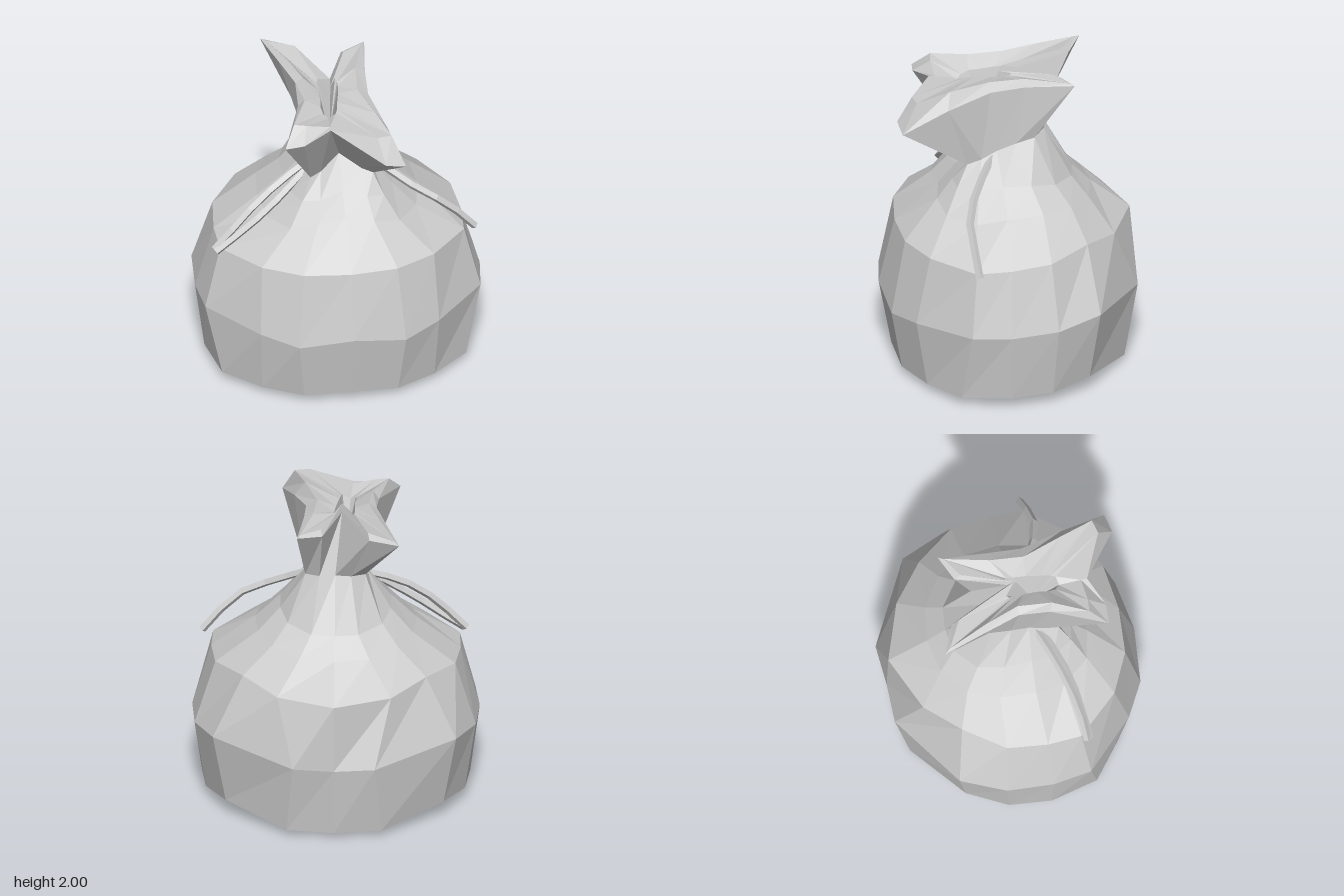
import * as THREE from 'three';

const V = (x, y, z) => new THREE.Vector3(x, y, z);

// Skins a stack of closed rings (front -> +x -> back -> -x) with flat quads
function loft(rings) {
  const pos = [];
  const tri = (...pts) => pts.forEach((p) => pos.push(p.x, p.y, p.z));
  for (let k = 0; k < rings.length - 1; k++) {
    const lo = rings[k], hi = rings[k + 1], n = lo.length;
    for (let i = 0; i < n; i++) {
      const j = (i + 1) % n;
      tri(lo[i], lo[j], hi[j]);
      tri(lo[i], hi[j], hi[i]);
    }
  }
  const geo = new THREE.BufferGeometry();
  geo.setAttribute('position', new THREE.Float32BufferAttribute(pos, 3));
  geo.computeVertexNormals();
  return geo;
}

const ringOf = (pts) => pts.map((p) => V(...p));

// Completes a half ring of 9 points by mirroring it in x
function mirrorRing(pts) {
  const half = ringOf(pts);
  return [...half, ...half.slice(1, 8).reverse().map((p) => V(-p.x, p.y, p.z))];
}

// Pulls a ring towards a point to close an opening
const shrink = (ring, s, cx, cz, y) => ring.map((p) => V(cx + (p.x - cx) * s, y, cz + (p.z - cz) * s));

export function createModel() {
  const cloth = new THREE.MeshStandardMaterial({ color: 0xcccccc, flatShading: true, side: THREE.DoubleSide });
  cloth.name = 'grey cloth';
  const model = new THREE.Group();
  const add = (name, geo) => {
    const mesh = new THREE.Mesh(geo, cloth);
    mesh.name = name;
    model.add(mesh);
  };

  // Sack cross-sections, each from front to back
  const base = mirrorRing([[0, 0.07, 0.73], [0.3, 0.05, 0.7], [0.55, 0.05, 0.57], [0.78, 0.06, 0.38],
    [0.85, 0.07, 0.07], [0.82, 0.08, -0.2], [0.69, 0.11, -0.45], [0.3, 0.04, -0.72], [0, 0.03, -0.74]]);
  const belly = mirrorRing([[0, 0.51, 0.81], [0.34, 0.46, 0.77], [0.57, 0.5, 0.64], [0.88, 0.53, 0.32],
    [0.91, 0.53, 0.07], [0.89, 0.55, -0.23], [0.77, 0.59, -0.51], [0.26, 0.52, -0.81], [0, 0.5, -0.8]]);
  const shoulder = mirrorRing([[0, 0.95, 0.71], [0.3, 0.95, 0.68], [0.55, 0.95, 0.55], [0.78, 0.94, 0.28],
    [0.79, 0.95, 0.06], [0.76, 0.97, -0.2], [0.58, 1, -0.45], [0.36, 0.95, -0.65], [0, 0.95, -0.79]]);
  const upper = mirrorRing([[0, 1.2, 0.43], [0.18, 1.18, 0.46], [0.35, 1.14, 0.42], [0.48, 1.13, 0.24],
    [0.51, 1.17, 0.05], [0.49, 1.18, -0.18], [0.4, 1.17, -0.37], [0.22, 1.15, -0.5], [0, 1.15, -0.54]]);
  const collar = mirrorRing([[0, 1.33, 0.32], [0.15, 1.3, 0.36], [0.26, 1.29, 0.34], [0.33, 1.29, 0.21],
    [0.35, 1.32, 0.06], [0.35, 1.32, -0.12], [0.3, 1.29, -0.28], [0.15, 1.27, -0.4], [0, 1.27, -0.42]]);
  // Pinched neck: low at the front, high at the back
  const neck = mirrorRing([[0, 1.5, 0.14], [0.13, 1.44, 0.24], [0.2, 1.42, 0.27], [0.2, 1.45, 0.18],
    [0.19, 1.5, 0.08], [0.2, 1.55, -0.04], [0.19, 1.58, -0.16], [0.1, 1.6, -0.23], [0, 1.59, -0.2]]);

  // Nearly flat underside resting on its front corners
  const foot = shrink(base, 0.65, 0, 0, 0.03);
  for (const i of [1, 15]) foot[i].set(Math.sign(foot[i].x) * 0.26, 0, 0.46);
  add('sackBody', loft([shrink(base, 0, 0, 0, 0.03), foot, base, belly, shoulder, upper, collar, neck]));

  // Gathered mouth: four flared lobes with a bevelled rim, closing to a narrow slit
  const flare = ringOf([[-0.1, 1.91, 0.48], [0.22, 1.77, 0.72], [0.35, 1.74, 0.7], [0.27, 1.85, 0.4],
    [0.19, 1.92, 0.12], [0.2, 1.95, -0.1], [0.24, 1.96, -0.41], [0.08, 1.94, -0.34],
    [-0.04, 1.95, -0.02], [-0.22, 1.96, -0.43], [-0.41, 1.97, -0.52], [-0.33, 1.97, -0.25],
    [-0.26, 1.97, 0], [-0.27, 1.93, 0.2], [-0.4, 1.84, 0.55], [-0.28, 1.86, 0.56]]);
  const rim = ringOf([[-0.1, 1.91, 0.44], [0.18, 1.92, 0.62], [0.27, 1.92, 0.6], [0.2, 1.95, 0.38],
    [0.12, 1.96, 0.12], [0.14, 1.98, -0.1], [0.22, 1.97, -0.38], [0.09, 1.97, -0.3],
    [-0.04, 1.99, 0.02], [-0.21, 1.99, -0.38], [-0.38, 1.98, -0.48], [-0.28, 2, -0.22],
    [-0.21, 2, 0], [-0.23, 1.98, 0.22], [-0.33, 1.95, 0.44], [-0.25, 1.94, 0.45]]);
  const slit = ringOf([[-0.09, 1.88, 0.3], [-0.04, 1.91, 0.29], [-0.03, 1.92, 0.26], [-0.02, 1.93, 0.2],
    [0, 1.93, 0.1], [0.01, 1.93, 0.02], [0.01, 1.94, -0.02], [0, 1.95, -0.04],
    [-0.04, 1.95, 0.04], [-0.11, 1.95, -0.05], [-0.12, 1.94, -0.03], [-0.12, 1.94, 0],
    [-0.12, 1.94, 0.06], [-0.12, 1.93, 0.15], [-0.13, 1.92, 0.22], [-0.12, 1.9, 0.27]]);
  add('sackMouth', loft([neck, flare, rim, slit, shrink(slit, 0, -0.06, 0.14, 1.65)]));

  // Drawstrings: square strands curving out from the neck
  const strands = [
    ['leftString', [[0.17, 1.47, 0.1], [0.4, 1.32, 0.24], [0.58, 1.22, 0.3], [0.72, 1.1, 0.29], [0.85, 0.95, 0.27]]],
    ['rightString', [[-0.17, 1.46, 0.11], [-0.38, 1.36, 0.2], [-0.55, 1.24, 0.26], [-0.7, 1.09, 0.3], [-0.82, 0.96, 0.31]]],
    ['rightInnerString', [[-0.17, 1.45, 0.14], [-0.37, 1.29, 0.24], [-0.52, 1.17, 0.29], [-0.66, 1.06, 0.31], [-0.81, 0.95, 0.33]]],
  ];
  for (const [name, pts] of strands) {
    add(name, new THREE.TubeGeometry(new THREE.CatmullRomCurve3(ringOf(pts)), 5, 0.025, 4));
  }
  return model;
}
